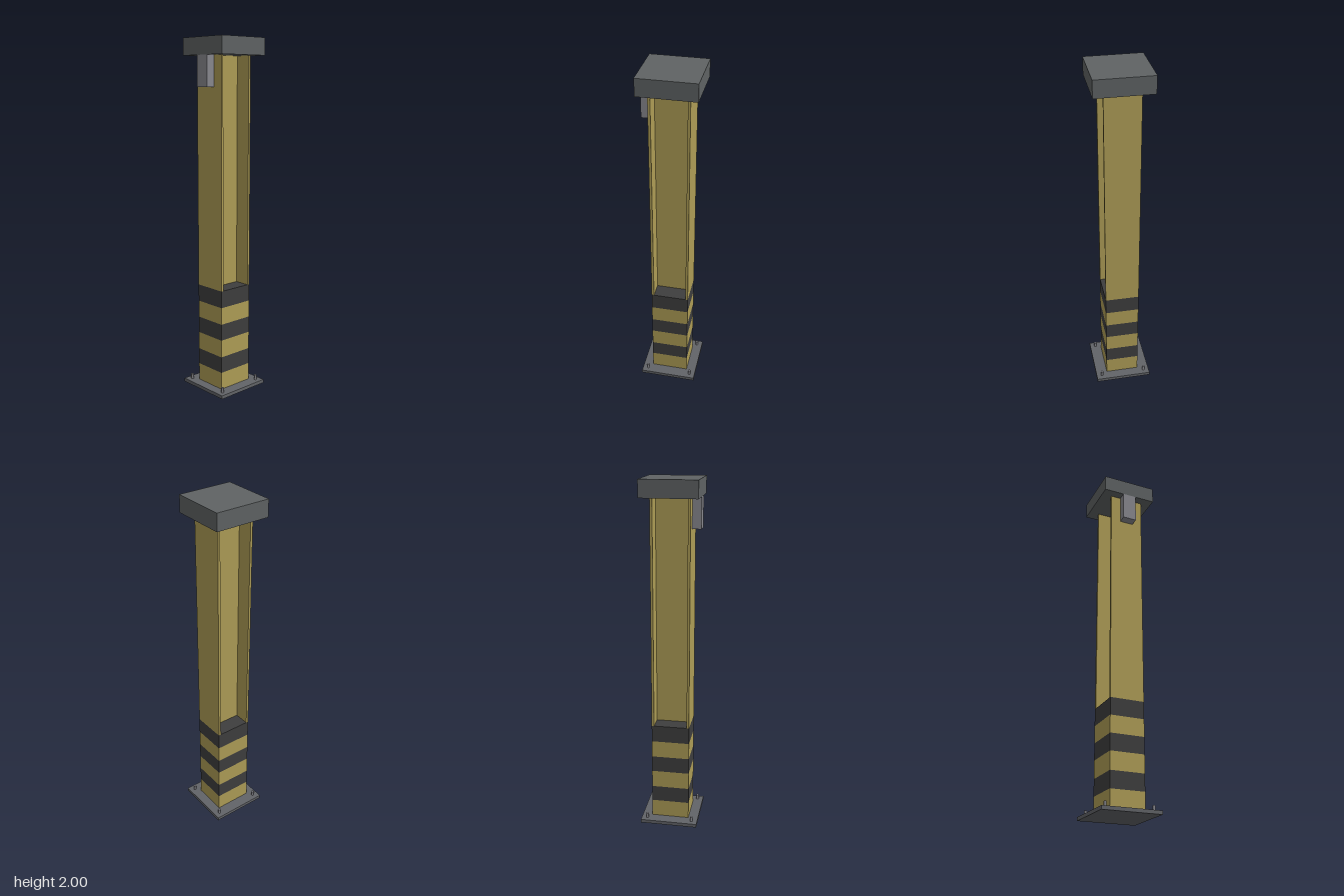
import * as THREE from 'three';

export function createModel() {
  const group = new THREE.Group();
  group.name = 'stripedPost';

  const material = (name, color) => {
    const m = new THREE.MeshStandardMaterial({ color });
    m.name = name;
    return m;
  };
  const yellow = material('mutedYellow', 0xae9d56);
  const black = material('stripeBlack', 0x3e3e3e);
  const capGrey = material('capGrey', 0x5f6364);
  const plateGrey = material('plateGrey', 0x626468);
  const steel = material('steelGrey', 0x89898f);

  const add = (name, geometry, mat, x, y, z) => {
    const mesh = new THREE.Mesh(geometry, mat);
    mesh.name = name;
    mesh.position.set(x, y, z);
    group.add(mesh);
  };
  // Box between two heights, centred on x and z
  const block = (name, w, y0, y1, d, mat, x = 0, z = 0) =>
    add(name, new THREE.BoxGeometry(w, y1 - y0, d), mat, x, (y0 + y1) / 2, z);

  const W = 0.197, D = 0.218, flange = 0.014, web = 0.014;
  const plateTop = 0.02, sleeveTop = 0.606, capBottom = 1.905;

  // Base plate and its four anchor bolts
  block('basePlate', 0.333, 0, plateTop, 0.333, plateGrey);
  for (const x of [-1, 1]) for (const z of [-1, 1])
    add('anchorBolt', new THREE.CylinderGeometry(0.008, 0.008, 0.03, 8), steel, x * 0.133, plateTop + 0.014, z * 0.133);

  // Solid banded sleeve, alternating yellow and black
  const bands = [plateTop, 0.12, 0.214, 0.315, 0.41, 0.508, sleeveTop];
  for (let i = 0; i < bands.length - 1; i++)
    block(i % 2 ? 'blackBand' : 'yellowBand', W, bands[i], bands[i + 1], D, i % 2 ? black : yellow);

  // I-beam shaft: two flanges joined by a web
  for (const s of [-1, 1])
    block('beamFlange', W, sleeveTop, capBottom, flange, yellow, 0, s * (D - flange) / 2);
  block('beamWeb', web, sleeveTop, capBottom, D - 2 * flange, yellow);

  // Top cap and the front bracket below it
  block('topCap', 0.316, capBottom, 2, 0.316, capGrey);
  block('frontBracket', 0.08, 1.737, capBottom, 0.05, steel, 0, D / 2 + 0.025);

  return group;
}
